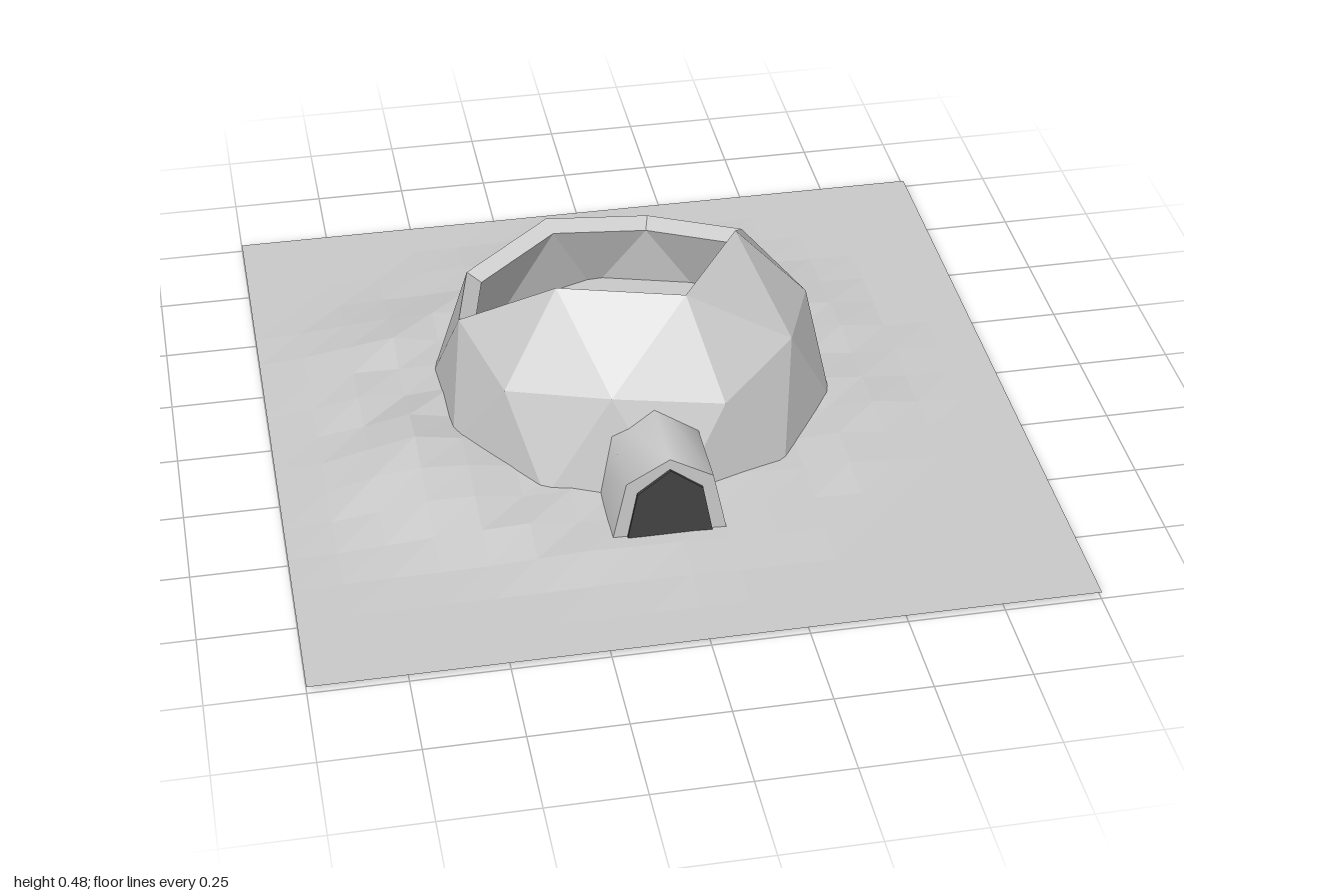
import * as THREE from 'three';
import { toCreasedNormals } from 'three/addons/utils/BufferGeometryUtils.js';

const snow = new THREE.MeshStandardMaterial({ color: 0xcccccc, flatShading: true, side: THREE.DoubleSide });
const smoothSnow = new THREE.MeshStandardMaterial({ color: 0xcccccc });
const dark = new THREE.MeshStandardMaterial({ color: 0x444444 });

const CENTER = new THREE.Vector3(-0.005, 0.015, -0.1);
const RADIUS = 0.55;
const WALL = 0.91; // inner shell scale

function add(parent, name, geometry, material) {
  const mesh = new THREE.Mesh(geometry, material);
  mesh.name = name;
  parent.add(mesh);
  return mesh;
}

// Snow field: a coarse grid lifted into low drifts around the dome
function groundGeometry() {
  const geo = new THREE.PlaneGeometry(2, 2, 16, 16).rotateX(-Math.PI / 2);
  const pos = geo.attributes.position;
  let seed = 7;
  const random = () => (seed = (seed * 16807) % 2147483647) / 2147483647;
  for (let i = 0; i < pos.count; i++) {
    const x = pos.getX(i), z = pos.getZ(i);
    const fade = 1 - THREE.MathUtils.smoothstep(Math.hypot(x + 0.06, z + 0.07), 0.6, 0.9);
    const drift = 0.045 * Math.exp(-(((x + 0.64) / 0.2) ** 2) - ((z - 0.22) / 0.25) ** 2);
    const backDrift = 0.025 * Math.exp(-(((x + 0.72) / 0.18) ** 2) - ((z + 0.35) / 0.2) ** 2);
    const edge = Math.max(Math.abs(x), Math.abs(z)) > 0.99 ? 0 : 1;
    pos.setY(i, 0.02 + edge * (fade * (0.012 + 0.02 * random()) + drift + backDrift));
  }
  return geo;
}

// Dome: half of a subdivided icosahedron, opened at the top and back
function domeGeometry() {
  const ring = (height, radius, offset) => [0, 1, 2, 3, 4].map((k) => {
    const a = THREE.MathUtils.degToRad(-2 + 72 * k + offset);
    return new THREE.Vector3(Math.cos(a) * radius, height, Math.sin(a) * radius).multiplyScalar(RADIUS);
  });
  const top = ring(0.851, 0.526, 0);
  const upper = ring(0.447, 0.894, 0);
  const middle = ring(0.526, 0.851, 36);
  const baseA = ring(0, 1, 18);
  const baseB = ring(0, 1, 54);
  const faces = [];
  for (let k = 0; k < 5; k++) {
    const n = (k + 1) % 5;
    if (k < 3) faces.push([top[k], middle[k], upper[k]]);
    if (k < 2) faces.push([top[k], top[n], middle[k]]);
    if (k < 2 || k === 4) faces.push([top[n], upper[n], middle[k]]);
    faces.push(
      [upper[k], middle[k], baseA[k]],
      [middle[k], baseB[k], baseA[k]],
      [middle[k], upper[n], baseB[k]],
      [upper[n], baseA[n], baseB[k]],
    );
  }
  const points = [];
  const inner = (p) => p.clone().multiplyScalar(WALL);
  for (const [a, b, c] of faces) points.push(a, b, c, inner(a), inner(c), inner(b));
  // Broken edge joining the outer and inner shells
  const rim = [top[0], top[1], top[2], middle[2], upper[3], middle[3], upper[4], middle[4]];
  rim.forEach((a, i) => {
    const b = rim[(i + 1) % rim.length];
    points.push(a, inner(a), b, b, inner(a), inner(b));
  });
  const geo = new THREE.BufferGeometry().setFromPoints(points);
  geo.translate(CENTER.x, CENTER.y, CENTER.z);
  geo.computeVertexNormals();
  return geo;
}

// Pointed arch, extruded along z from back to front
function archGeometry(halfWidth, shoulder, shoulderY, peakY, bottomY, back, front) {
  const shape = new THREE.Shape([
    [-halfWidth, bottomY], [halfWidth, bottomY], [shoulder, shoulderY], [0, peakY], [-shoulder, shoulderY],
  ].map(([x, y]) => new THREE.Vector2(x, y)));
  const geo = new THREE.ExtrudeGeometry(shape, { depth: front - back, bevelEnabled: false });
  return geo.translate(-0.025, 0, back);
}

export function createModel() {
  const group = new THREE.Group();
  group.name = 'snowHouse';

  add(group, 'snowGround', groundGeometry(), snow);
  add(group, 'dome', domeGeometry(), snow);

  // Floor slab closing the dome underneath
  const floor = new THREE.CylinderGeometry(0.52, 0.548, 0.04, 10, 1, false, THREE.MathUtils.degToRad(2));
  floor.translate(CENTER.x, CENTER.y + 0.02, CENTER.z);
  add(group, 'domeFloor', floor, snow);

  // Entrance passage with its dark doorway
  add(group, 'entranceTunnel',
    toCreasedNormals(archGeometry(0.152, 0.113, 0.2, 0.265, 0.015, 0.27, 0.58), 1.1), smoothSnow);
  add(group, 'doorway', archGeometry(0.117, 0.085, 0.17, 0.235, 0, 0.573, 0.588), dark);

  return group;
}
